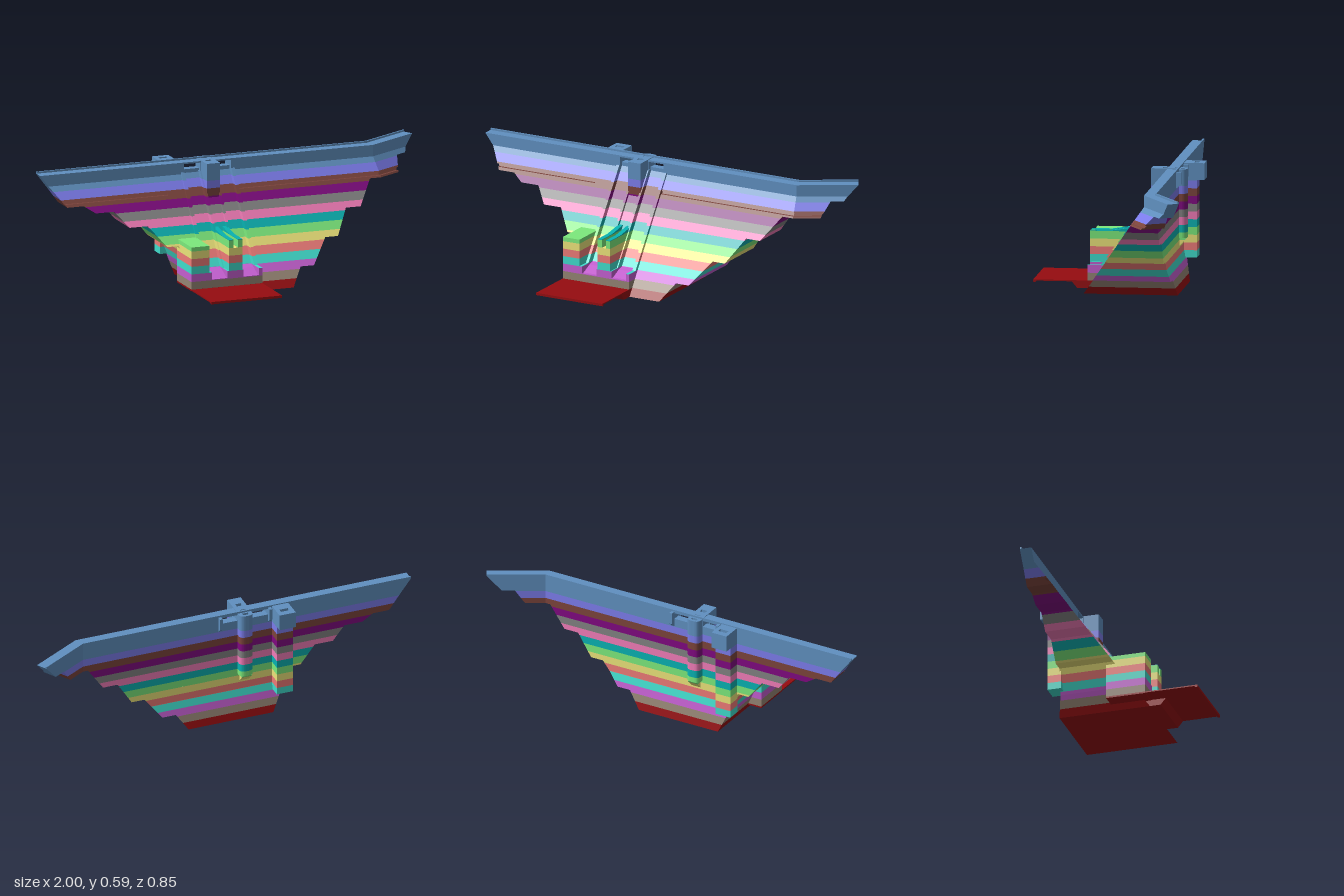
import * as THREE from 'three';

// Horizontal concrete lifts, bottom to top
const COLORS = [0x960c10, 0x958474, 0xc45fd0, 0x40dccc, 0xee7b78, 0xece47a, 0x7cea7c,
  0x08b2b2, 0xf27cb8, 0x828282, 0x800880, 0x7c443c, 0x7c7cec, 0x6090c0];
const LIFT = 0.0382, CREST = 0.579, TOP = 0.588;
const bounds = COLORS.map((_, i) => i * LIFT).concat(0.62);
const mats = COLORS.map(color => new THREE.MeshStandardMaterial({ color, flatShading: true, side: THREE.DoubleSide }));
const layerAt = y => Math.min(COLORS.length - 1, Math.floor(y / LIFT));

// Stepped abutments: [height, end below the step, end above the step]
const LEFT_END = [[0, 0.18, 0.18], [0.086, 0.24, 0.31], [0.2, 0.40, 0.467], [0.316, 0.54, 0.617],
  [0.43, 0.697, 0.838], [0.5, 0.888, 0.952], [CREST, 1.025, 1.025], [TOP, 1.025, 1.025]];
const RIGHT_END = [[0, -0.265, -0.265], [0.1, -0.31, -0.31], [0.22, -0.36, -0.42], [0.316, -0.495, -0.59],
  [0.39, -0.65, -0.745], [0.425, -0.80, -0.885], [0.5, -0.94, -0.94], [CREST, -1, -1], [TOP, -1, -1]];

function endAt(table, y, mid) {
  const i = Math.max(1, table.findIndex(r => r[0] >= mid));
  const a = table[i - 1], b = table[i];
  return a[2] + (b[1] - a[2]) * (y - a[0]) / (b[0] - a[0]);
}

const frontZ = y => Math.max(-0.218, 0.155 - 0.715 * y);
const backZ = y => y < 0.154 ? -0.307 + 0.03 * y / 0.154 : -0.277;

// The wing turns back by 30 degrees past the bend
const BEND = 0.73, AXIS = -0.25, ANGLE = Math.PI / 6;
function place(u, z) {
  const n = z - AXIS;
  if (Math.abs(u - BEND) < 1e-6) return [BEND + n * Math.tan(ANGLE / 2), z];
  if (u < BEND) return [u, z];
  const t = u - BEND, c = Math.cos(ANGLE), s = Math.sin(ANGLE);
  return [BEND + t * c + n * s, AXIS - t * s + n * c];
}

// Six-sided block with sloping ends and faces
function slab(a, b, y0, y1, front, back) {
  const g = new THREE.BoxGeometry(1, 1, 1), p = g.attributes.position;
  for (let i = 0; i < p.count; i++) {
    const top = p.getY(i) > 0 ? 1 : 0, y = top ? y1 : y0;
    const [x, z] = place((p.getX(i) > 0 ? b : a)[top], (p.getZ(i) > 0 ? front : back)(y));
    p.setXYZ(i, x, y, z);
  }
  g.computeVertexNormals();
  return g;
}

function add(group, geometry, y, name) {
  const m = new THREE.Mesh(geometry, mats[layerAt(y)]);
  m.name = name;
  group.add(m);
}

function part(root, name) {
  const g = new THREE.Group();
  g.name = name;
  root.add(g);
  return g;
}

// Keep the part of a [z, y] outline on one side of a level
function clip(pts, level, sign) {
  const out = [];
  pts.forEach((p, i) => {
    const q = pts[(i + 1) % pts.length];
    const dp = sign * (p[1] - level), dq = sign * (q[1] - level);
    if (dp >= 0) out.push(p);
    if (dp * dq < 0) out.push([p[0] + (q[0] - p[0]) * dp / (dp - dq), level]);
  });
  return out;
}

// Side outline [z, y] extruded across x, split into lifts
function sidePart(group, x0, x1, pts, name) {
  for (let k = 0; k < COLORS.length; k++) {
    const c = clip(clip(pts, bounds[k], 1), bounds[k + 1], -1);
    const ys = c.map(p => p[1]);
    if (c.length < 3 || Math.max(...ys) - Math.min(...ys) < 1e-4) continue;
    const g = new THREE.ExtrudeGeometry(new THREE.Shape(c.map(p => new THREE.Vector2(...p))),
      { depth: x1 - x0, bevelEnabled: false });
    g.rotateY(-Math.PI / 2).translate(x1, 0, 0);
    add(group, g, (bounds[k] + bounds[k + 1]) / 2, name);
  }
}

// Plan outline extruded upward, split into lifts; shafts start at holeY
function planPart(group, makeShape, holes, y0, y1, holeY, name) {
  const cuts = [y0, ...bounds.filter(y => y > y0 && y < y1), y1, holeY].sort((a, b) => a - b);
  for (let i = 0; i + 1 < cuts.length; i++) {
    const h = cuts[i + 1] - cuts[i], mid = cuts[i] + h / 2;
    if (h < 1e-4) continue;
    const s = makeShape();
    if (mid > holeY) holes.forEach(([x, z, w, d]) => s.holes.push(rect(x - w / 2, x + w / 2, z - d / 2, z + d / 2)));
    const g = new THREE.ExtrudeGeometry(s, { depth: h, bevelEnabled: false, curveSegments: 6 });
    g.rotateX(-Math.PI / 2).translate(0, cuts[i], 0);
    add(group, g, mid, name);
  }
}
const rect = (x0, x1, z0, z1) => new THREE.Shape([[x0, -z1], [x1, -z1], [x1, -z0], [x0, -z0]].map(p => new THREE.Vector2(...p)));

export function createModel() {
  const root = new THREE.Group();
  root.name = 'dam';

  // Dam body with recessed chutes, gate windows and a drainage groove
  const body = part(root, 'damBody');
  const chutes = [[-0.248, -0.163], [-0.088, -0.003]];
  const SILL = 0.54, LINTEL = 0.571, GROOVE = [0.438, 0.451];
  const levels = [...new Set([...bounds.slice(0, -1), ...LEFT_END.map(r => r[0]), ...RIGHT_END.map(r => r[0]),
    0.154, 0.5217, SILL, LINTEL, ...GROOVE])].filter(y => y <= CREST).sort((a, b) => a - b);
  const stations = [-0.355, ...chutes.flat(), 0.015, BEND];
  for (let i = 0; i + 1 < levels.length; i++) {
    const y0 = levels[i], y1 = levels[i + 1], mid = (y0 + y1) / 2;
    const lo = [endAt(RIGHT_END, y0, mid), endAt(RIGHT_END, y1, mid)];
    const hi = [endAt(LEFT_END, y0, mid), endAt(LEFT_END, y1, mid)];
    const inner = stations.filter(u => u > Math.max(...lo) && u < Math.min(...hi)).map(u => [u, u]);
    const row = [lo, ...inner, hi];
    for (let j = 0; j + 1 < row.length; j++) {
      const u = (row[j][0] + row[j + 1][0]) / 2;
      const chute = chutes.some(c => u > c[0] && u < c[1]);
      if (chute && mid > SILL && mid < LINTEL) continue;
      const groove = mid > GROOVE[0] && mid < GROOVE[1] && (u < -0.355 || u > 0.015);
      const inset = chute && mid > LIFT && mid < SILL ? 0.02 : groove ? 0.012 : 0;
      add(body, slab(row[j], row[j + 1], y0, y1, y => frontZ(y) - inset, backZ), mid, 'lift');
    }
  }

  // Low parapet along the upstream edge
  const parapet = part(root, 'parapet');
  for (const [a, b] of [[-1, BEND], [BEND, 1.025]])
    add(parapet, slab([a, a], [b, b], CREST, TOP, () => -0.269, () => -0.277), CREST, 'parapetWall');

  // Chute walls and flip lips
  const spillway = part(root, 'spillway');
  const wall = [[0.16, 0.035], [0.16, 0.115], [0.095, 0.115], [-0.212, 0.53], [-0.24, 0.53], [-0.1, 0.3], [0.03, 0.035]];
  for (const [a, b] of [[-0.265, -0.248], [-0.167, -0.155], [-0.096, -0.084], [-0.003, 0.015]])
    sidePart(spillway, a, b, wall, 'chuteWall');
  for (const [a, b] of chutes)
    sidePart(spillway, a, b, [[0.16, 0.035], [0.16, 0.08], [0.142, 0.08], [0.085, 0.105], [0.03, 0.12], [0.03, 0.035]], 'flipLip');

  // Lower divider pier with a trench along its top
  const pier = part(root, 'dividerPier');
  const pierSide = [[0.16, 0.035], [0.16, 0.27], [0.06, 0.27], [-0.05, 0.287], [-0.06, 0.287], [0, 0.035]];
  sidePart(pier, -0.16, -0.136, pierSide, 'pierSide');
  sidePart(pier, -0.114, -0.09, pierSide, 'pierSide');
  sidePart(pier, -0.136, -0.114, [[0.16, 0.035], [0.16, 0.228], [-0.05, 0.228], [0, 0.035]], 'trenchFloor');

  // Upper pier, rounded upstream
  const upper = part(root, 'gatePier');
  planPart(upper, () => rect(-0.16, -0.09, -0.277, -0.14), [[-0.125, -0.205, 0.03, 0.022], [-0.125, -0.262, 0.03, 0.018]],
    0.38, CREST + 0.003, 0.5, 'pierHead');
  const nose = () => {
    const s = new THREE.Shape();
    s.moveTo(-0.16, 0.27);
    s.lineTo(-0.09, 0.27);
    s.lineTo(-0.09, 0.292);
    s.quadraticCurveTo(-0.092, 0.314, -0.115, 0.315);
    s.lineTo(-0.135, 0.315);
    s.quadraticCurveTo(-0.158, 0.314, -0.16, 0.292);
    return s;
  };
  planPart(upper, nose, [[-0.125, -0.293, 0.03, 0.016]], 0.24, CREST, 0.29, 'pierNose');
  sidePart(upper, -0.15, -0.1, [[-0.27, 0.24], [-0.314, 0.24], [-0.277, 0.2], [-0.27, 0.2]], 'noseCorbel');

  // Short upstream gate jambs
  for (const [a, b] of [[-0.263, -0.248], [-0.003, 0.012]])
    sidePart(upper, a, b, [[-0.27, 0.5], [-0.27, CREST], [-0.3, CREST], [-0.3, 0.52], [-0.277, 0.5]], 'gateJamb');

  // Intake tower with an overhanging head
  const tower = part(root, 'intakeTower');
  planPart(tower, () => rect(-0.355, -0.27, -0.34, -0.27), [[-0.3125, -0.325, 0.045, 0.018]], 0.117, 0.5, 0.29, 'towerShaft');
  planPart(tower, () => rect(-0.355, -0.27, -0.377, -0.27), [[-0.3125, -0.335, 0.045, 0.022]], 0.5, CREST + 0.004, 0.5, 'towerHead');

  // Powerhouse block
  const house = part(root, 'powerhouse');
  sidePart(house, -0.355, -0.262, [[0.16, 0.03], [0.16, 0.25], [-0.04, 0.25], [-0.04, 0.03]], 'powerhouseBlock');

  // Apron and its toe
  const apron = part(root, 'apron');
  sidePart(apron, -0.355, 0.015, [[0.426, 0.038], [0.1, 0.038], [0.1, 0.032], [0.41, 0.032], [0.415, 0.026], [0.426, 0.026]], 'apronSlab');
  sidePart(apron, -0.265, 0.015, [[0.1, 0], [0.21, 0], [0.237, 0.033], [0.1, 0.033]], 'apronToe');
  return root;
}
